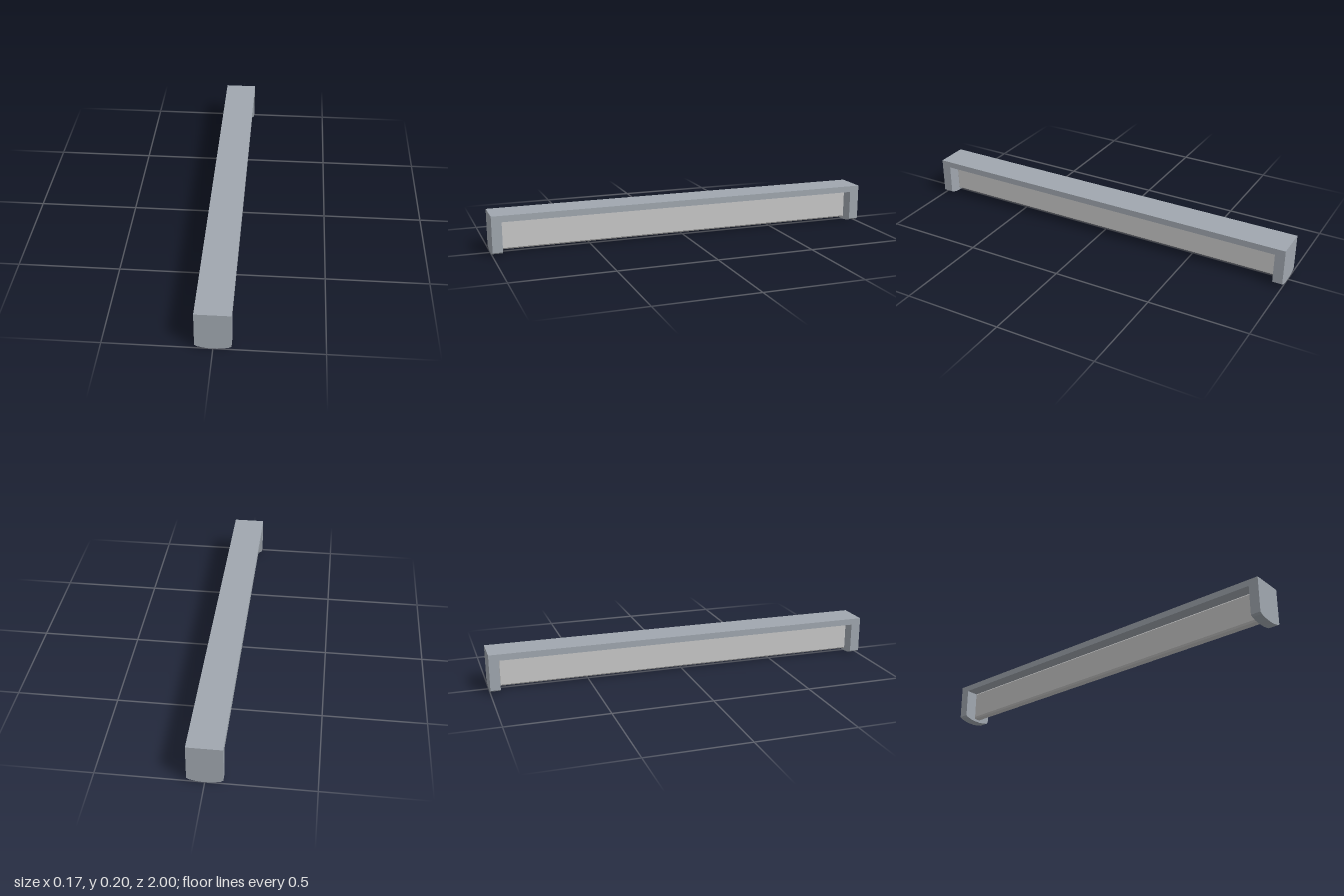
import * as THREE from 'three';

const HALF_LENGTH = 1, HALF_WIDTH = 0.083, TOP = 0.2, UNDERSIDE = 0.168, CAP = 0.05;

export function createModel() {
  const group = new THREE.Group();
  const housingGrey = new THREE.MeshStandardMaterial({ color: 0xa0a7af, flatShading: true });
  housingGrey.name = 'housing grey';
  const panelGrey = new THREE.MeshStandardMaterial({ color: 0xc8c8c8, flatShading: true });
  panelGrey.name = 'panel light grey';

  const add = (name, geometry, material) => {
    const mesh = new THREE.Mesh(geometry, material);
    mesh.name = name;
    group.add(mesh);
    return mesh;
  };

  // End caps: flat top, shallow faceted curve underneath
  const half = [[HALF_WIDTH, 0.018], [0.072, 0.01], [0.046, 0.0035], [0.018, 0]];
  const outline = [
    [HALF_WIDTH, TOP], [-HALF_WIDTH, TOP],
    ...half.map(([x, y]) => [-x, y]),
    ...half.slice().reverse(),
  ].map(([x, y]) => new THREE.Vector2(x, y));
  const capGeometry = new THREE.ExtrudeGeometry(new THREE.Shape(outline), { depth: CAP, bevelEnabled: false });
  add('frontEndCap', capGeometry, housingGrey).position.z = HALF_LENGTH - CAP;
  add('backEndCap', capGeometry, housingGrey).position.z = -HALF_LENGTH;

  // Top beam joining the caps
  const span = 2 * (HALF_LENGTH - CAP);
  add('topBeam', new THREE.BoxGeometry(2 * HALF_WIDTH, TOP - UNDERSIDE, span), housingGrey)
    .position.y = (TOP + UNDERSIDE) / 2;

  // Thin centre panel with chamfered edges on both faces
  const bevel = 0.008, bottom = 0.014, thickness = 0.048;
  const x = span / 2 - bevel, y0 = bottom + bevel, y1 = UNDERSIDE - bevel;
  const face = new THREE.Shape([[-x, y0], [x, y0], [x, y1], [-x, y1]].map(p => new THREE.Vector2(...p)));
  const panelGeometry = new THREE.ExtrudeGeometry(face, {
    depth: thickness - 2 * bevel, bevelSize: bevel, bevelThickness: bevel, bevelSegments: 1,
  });
  panelGeometry.translate(0, 0, bevel - thickness / 2);
  panelGeometry.rotateY(Math.PI / 2);
  add('centrePanel', panelGeometry, panelGrey);

  return group;
}
